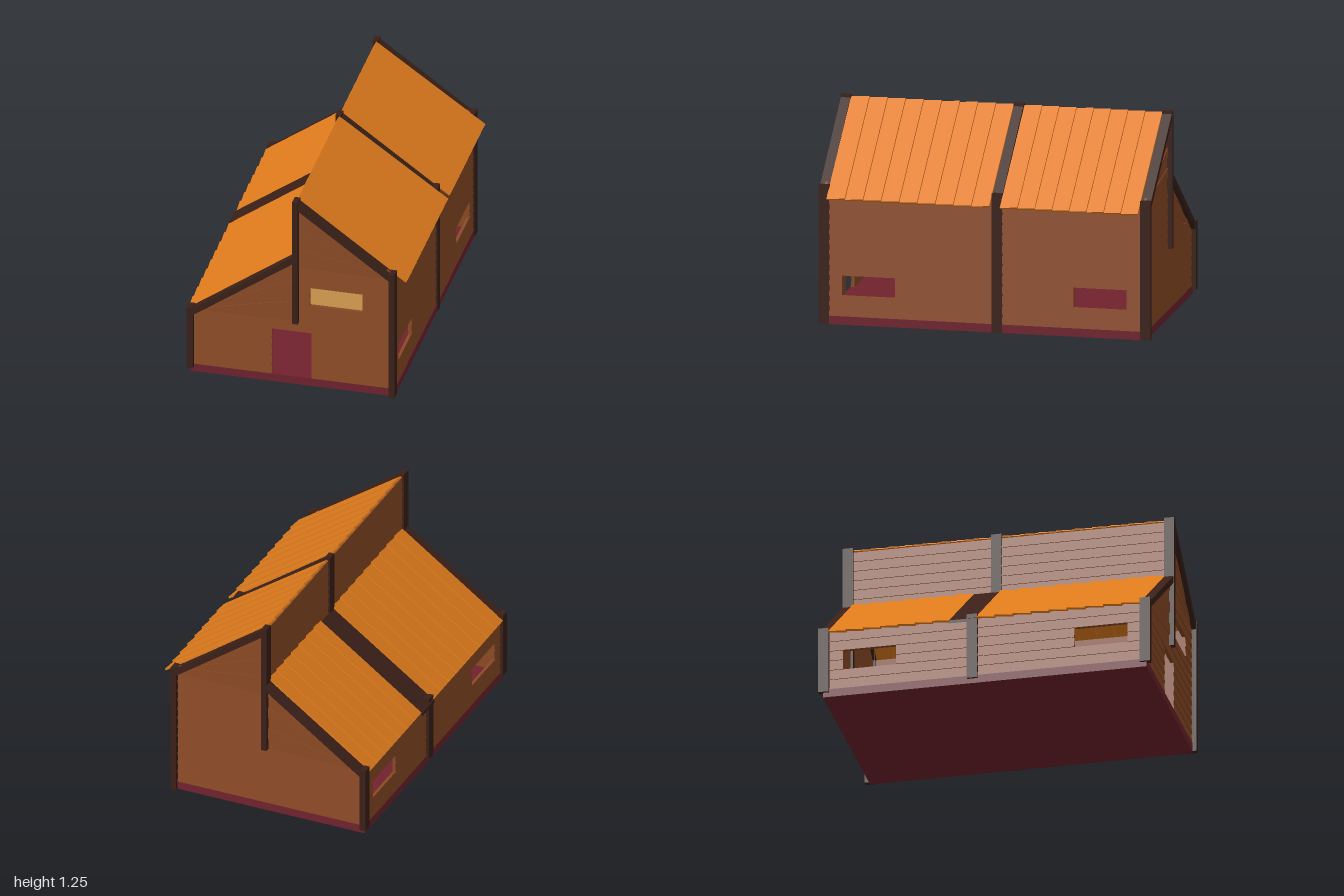
import * as THREE from 'three';

const mat = (color, side = THREE.FrontSide) => new THREE.MeshStandardMaterial({ color, side, flatShading: true });
const wood = mat(0x8b4a25, THREE.DoubleSide), timber = mat(0x3a2018), tile = mat(0xe07b1c);
const red = mat(0x70222e), loftWood = mat(0xc08c48);
const ROW = 0.0615, BASE = 0.05;

function add(parent, name, geo, material, x = 0, y = 0, z = 0) {
  const m = new THREE.Mesh(geo, material);
  m.name = name;
  m.position.set(x, y, z);
  parent.add(m);
  return m;
}

// Box given by its two corners
function block(parent, name, material, x0, x1, y0, y1, z0, z1) {
  return add(parent, name, new THREE.BoxGeometry(x1 - x0, y1 - y0, z1 - z0), material,
    (x0 + x1) / 2, (y0 + y1) / 2, (z0 + z1) / 2);
}

// Clapboard: a board whose upper outer edge leans inwards
function board(parent, u0, u1, y0, h = ROW) {
  const g = new THREE.BoxGeometry(u1 - u0, h, 0.024);
  const p = g.attributes.position;
  for (let i = 0; i < p.count; i++) if (p.getY(i) > 0 && p.getZ(i) > 0) p.setZ(i, 0.006);
  g.computeVertexNormals();
  add(parent, 'wallBoard', g, wood, (u0 + u1) / 2, y0 + h / 2, -0.012);
}

// Upright wall facing local +z, turned into place
function wall(root, name, angle, x, z) {
  const g = new THREE.Group();
  g.name = name;
  g.rotation.y = angle;
  g.position.set(x, 0, z);
  root.add(g);
  return g;
}

// Rows of boards from u0 to u1, skipping openings { u0, u1, r0, r1 }
function rows(g, u0, u1, r0, r1, openings = [], y = BASE) {
  for (let r = r0; r < r1; r++) {
    let start = u0;
    for (const o of openings) {
      if (r < o.r0 || r >= o.r1) continue;
      if (o.u0 > start) board(g, start, o.u0, y + r * ROW);
      start = o.u1;
    }
    if (start < u1) board(g, start, u1, y + r * ROW);
  }
}

// Gable boards fanning out of the eave corner
function fan(g, s, eaveX, eaveY, baseY, topY, count) {
  for (let i = 0; i < count; i++) {
    const a = baseY + (topY - baseY) * i / count, b = baseY + (topY - baseY) * (i + 1) / count;
    const low = i === 0 ? baseY : eaveY;
    const pts = [[0, a], [eaveX, low], [eaveX, eaveY + 0.004], [0, b]];
    const shape = new THREE.Shape(pts.map(([x, y]) => new THREE.Vector2(s * x, y)));
    const depth = i % 2 ? 0.02 : 0.016;
    add(g, 'gableBoard', new THREE.ExtrudeGeometry(shape, { depth, bevelEnabled: false }), wood, 0, 0, -0.022);
  }
}

// Sloping beam whose upper face runs from (x0,y0) to (x1,y1)
function rafter(parent, x0, y0, x1, y1, z0, z1, d = 0.045) {
  const s = new THREE.Shape([[x0, y0], [x1, y1], [x1, y1 - d], [x0, y0 - d]].map(p => new THREE.Vector2(...p)));
  add(parent, 'rafter', new THREE.ExtrudeGeometry(s, { depth: z1 - z0, bevelEnabled: false }), timber, 0, 0, z0);
}

// One roof field of overlapping, slightly tilted boards
function roof(root, name, x0, y0, x1, y1, z0, z1) {
  const g = new THREE.Group();
  g.name = name;
  g.position.set((x0 + x1) / 2, (y0 + y1) / 2, 0);
  g.rotation.z = Math.atan2(y1 - y0, x1 - x0);
  root.add(g);
  const len = Math.hypot(x1 - x0, y1 - y0), n = Math.round((z1 - z0) / 0.104), w = (z1 - z0) / n;
  for (let i = 0; i < n; i++) {
    const b = add(g, 'roofBoard', new THREE.BoxGeometry(len, 0.011, w + 0.004), tile, 0, -0.012, z0 + (i + 0.5) * w);
    b.rotation.x = 0.09;
  }
}

export function createModel() {
  const root = new THREE.Group();
  root.name = 'house';

  // Floor slab
  block(root, 'floorSlab', red, -0.645, 0.595, 0, BASE, -0.975, 0.975);

  // Front wall with doorway and upper window
  const front = wall(root, 'frontWall', 0, 0, 0.975);
  rows(front, -0.64, 0.09, 0, 6, [{ u0: -0.15, u1: 0.09, r0: 0, r1: 5 }]);
  rows(front, 0.09, 0.58, 0, 6);
  rows(front, 0, 0.58, 6, 12, [{ u0: 0.08, u1: 0.4, r0: 8, r1: 10 }]);

  // Back wall
  const back = wall(root, 'backWall', Math.PI, 0, -0.975);
  rows(back, 0.035, 0.64, 0, 6);
  rows(back, -0.58, 0.035, 0, 6);
  rows(back, -0.58, 0, 6, 12);

  for (const [g, s] of [[front, 1], [back, -1]]) {
    fan(g, s, 0.58, 0.82, BASE + 12 * ROW, 1.22, 7);
    fan(g, s, -0.63, 0.42, BASE + 6 * ROW, 0.86, 6);
  }

  // Side walls with two low windows each
  const windows = [{ u0: -0.86, u1: -0.54, r0: 2, r1: 4 }, { u0: 0.535, u1: 0.855, r0: 2, r1: 4 }];
  const mirrored = [{ u0: -0.855, u1: -0.535, r0: 2, r1: 4 }, { u0: 0.54, u1: 0.86, r0: 2, r1: 4 }];
  rows(wall(root, 'tallSideWall', Math.PI / 2, 0.592, 0), -0.965, 0.965, 0, 12, windows);
  rows(wall(root, 'lowSideWall', -Math.PI / 2, -0.645, 0), -0.965, 0.965, 0, 6, mirrored);

  // Wall rising between the two roofs
  rows(wall(root, 'upperWall', -Math.PI / 2, -0.012, 0), -0.96, 0.96, 0, 7, [], 0.795);

  // Three timber frames
  for (const [name, z0, z1] of [['frontFrame', 0.937, 1], ['middleFrame', -0.105, -0.042], ['backFrame', -1, -0.937]]) {
    const f = new THREE.Group();
    f.name = name;
    root.add(f);
    block(f, 'tallPost', timber, 0.565, 0.6, 0, 0.838, z0, z1);
    block(f, 'lowPost', timber, -0.66, -0.622, 0.03, 0.442, z0, z1);
    block(f, 'ridgePost', timber, -0.02, 0.014, 0.42, 1.25, z0, z1);
    rafter(f, 0.01, 1.237, 0.575, 0.826, z0 + 0.003, z1 - 0.003);
    rafter(f, -0.63, 0.432, -0.015, 0.872, z0 + 0.003, z1 - 0.003);
  }

  // Wide dark strip between the low roof fields
  rafter(root, -0.668, 0.41, -0.015, 0.876, -0.21, -0.045, 0.02);

  // Inner posts
  block(root, 'innerPost', timber, -0.15, -0.11, BASE, 0.42, -0.1, -0.05);
  block(root, 'innerPost', timber, 0.28, 0.34, BASE, 0.42, -0.1, -0.05);

  // Loft floor
  block(root, 'loftFloor', loftWood, 0, 0.565, 0.44, 0.46, -0.95, -0.05);
  const loft = add(root, 'frontLoftFloor', new THREE.PlaneGeometry(0.565, 1), loftWood, 0.2825, 0.46, 0.45);
  loft.rotation.x = -Math.PI / 2;

  // Roof fields
  roof(root, 'tallRoofFront', 0.005, 1.248, 0.666, 0.78, -0.042, 0.937);
  roof(root, 'tallRoofBack', 0.005, 1.248, 0.666, 0.78, -0.937, -0.108);
  roof(root, 'lowRoofFront', -0.668, 0.42, -0.01, 0.892, -0.045, 0.937);
  roof(root, 'lowRoofBack', -0.668, 0.42, -0.01, 0.892, -0.937, -0.208);

  return root;
}
